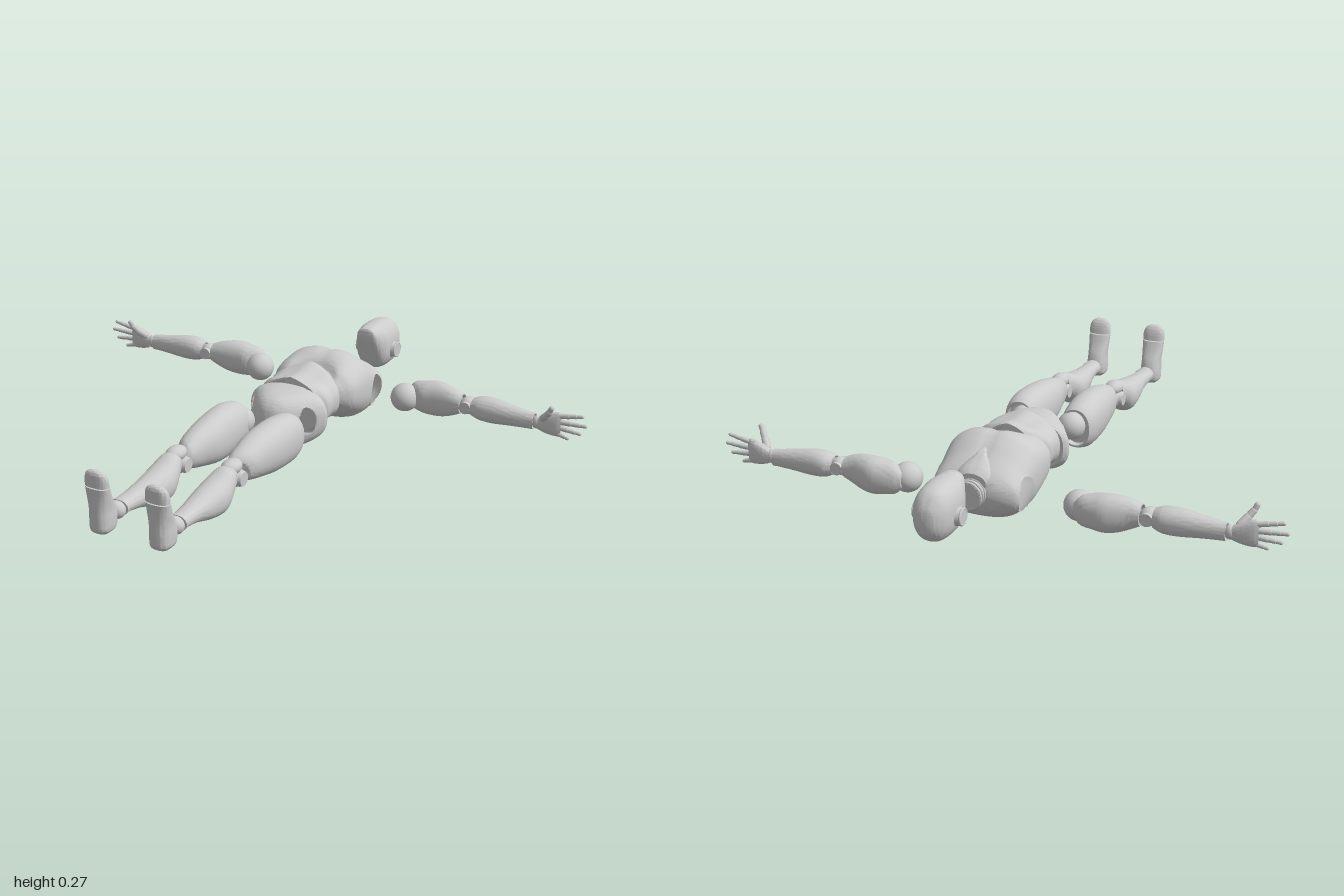
import * as THREE from 'three';
import { toCreasedNormals } from 'three/addons/utils/BufferGeometryUtils.js';

const material = new THREE.MeshStandardMaterial({ color: 0xcccccc, side: THREE.DoubleSide });

const spline = (a, b, c, d, k) =>
  b + 0.5 * k * (c - a + k * (2 * a - 5 * b + 4 * c - d + k * (3 * (b - c) + d - a)));
const ramp = (v, a, b) => THREE.MathUtils.smoothstep(v, Math.min(a, b), Math.max(a, b));

// Places (along, u, v) in space for each lofting axis
const axes = {
  x: (t, u, v) => [t, u, v],
  y: (t, u, v) => [v, t, u],
  z: (t, u, v) => [u, v, t],
};

// Smooth loft through superellipse sections [along, u, v, radiusU, radiusV].
// dish = depth of the recess at each end, warp(p) bends points, hole cuts an oval along x.
function loft(axis, sections, { n = 2, seg = 40, steps = 6, dish = [0, 0], warp, hole } = {}) {
  const rows = [];
  const last = sections.length - 1;
  for (let i = 0; i < last; i++) {
    const q = [-1, 0, 1, 2].map(k => sections[Math.min(last, Math.max(0, i + k))]);
    for (let s = 0; s < steps + (i === last - 1 ? 1 : 0); s++)
      rows.push(q[1].map((_, c) => spline(q[0][c], q[1][c], q[2][c], q[3][c], s / steps)));
  }
  const capRow = (r, scale, off) => [r[0] + off, r[1], r[2], r[3] * scale, r[4] * scale];
  const a = rows[0], b = rows[rows.length - 1];
  const ends = d => (d ? [[0.9, 0], [0.84, d], [0.001, d]] : [[0.001, 0]]);
  ends(dish[0]).forEach(([s, o]) => rows.unshift(capRow(a, s, o)));
  ends(dish[1]).forEach(([s, o]) => rows.push(capRow(b, s, -o)));

  const pts = [];
  const pow = v => Math.sign(v) * Math.abs(v) ** (2 / n);
  for (const [t, u, v, ru, rv] of rows)
    for (let j = 0; j < seg; j++) {
      const w = (j / seg) * Math.PI * 2;
      const p = new THREE.Vector3(...axes[axis](t, u + ru * pow(Math.cos(w)), v + rv * pow(Math.sin(w))));
      if (warp) warp(p);
      pts.push(p);
    }
  // Points inside the oval move to its edge; faces wholly inside are dropped
  const inside = pts.map(p => {
    if (!hole) return false;
    const dy = (p.y - hole.y) / hole.ry, dz = (p.z - hole.z) / hole.rz, d = Math.hypot(dy, dz);
    if (d >= 1 || Math.abs(p.x) < 0.04) return false;
    p.y = hole.y + (dy / (d || 1)) * hole.ry;
    p.z = hole.z + (dz / (d || 1)) * hole.rz;
    return true;
  });
  const index = [];
  const face = (...f) => { if (!f.every(k => inside[k])) index.push(...f); };
  for (let i = 0; i < rows.length - 1; i++)
    for (let j = 0; j < seg; j++) {
      const k = (j + 1) % seg, r = i * seg, s = r + seg;
      face(r + j, r + k, s + k);
      face(r + j, s + k, s + j);
    }
  const g = new THREE.BufferGeometry().setFromPoints(pts);
  g.setIndex(index);
  return toCreasedNormals(g, 0.75);
}

function add(group, name, geometry) {
  const mesh = new THREE.Mesh(geometry, material);
  mesh.name = name;
  group.add(mesh);
}

const ball = (x, y, z, rx, ry = rx, rz = rx) =>
  new THREE.SphereGeometry(1, 28, 18).scale(rx, ry, rz).translate(x, y, z);

const disc = (r, h, x, y, z) =>
  new THREE.CylinderGeometry(r * 0.85, r, h, 28).rotateZ(-Math.PI / 2).translate(x, y, z);

// Rounded finger bone between two points
function bone(a, b, r) {
  const d = b.clone().sub(a);
  const q = new THREE.Quaternion().setFromUnitVectors(new THREE.Vector3(0, 1, 0), d.clone().normalize());
  const m = a.clone().add(b).multiplyScalar(0.5);
  return new THREE.CapsuleGeometry(r, d.length() * 0.85, 5, 12).applyQuaternion(q).translate(m.x, m.y, m.z);
}

// Mirrored copy of a limb across x = 0
function mirrored(group, name) {
  const out = new THREE.Group();
  out.name = name;
  for (const m of group.children) {
    let g = m.geometry.index ? m.geometry.toNonIndexed() : m.geometry.clone();
    g.scale(-1, 1, 1);
    for (const attr of Object.values(g.attributes))
      for (let i = 0; i < attr.count; i += 3)
        for (let c = 0; c < attr.itemSize; c++) {
          const v = attr.getComponent(i + 1, c);
          attr.setComponent(i + 1, c, attr.getComponent(i + 2, c));
          attr.setComponent(i + 2, c, v);
        }
    add(out, m.name, g);
  }
  return out;
}

function buildTrunk(body) {
  // Head: flat face, jaw sloping back to the neck, ear discs
  add(body, 'head', loft('z', [
    [-0.915, 0, 0.165, 0.012, 0.02], [-0.905, 0, 0.166, 0.036, 0.05], [-0.87, 0, 0.17, 0.06, 0.084],
    [-0.81, 0, 0.172, 0.067, 0.093], [-0.76, 0, 0.175, 0.065, 0.09], [-0.74, 0, 0.182, 0.058, 0.082],
    [-0.72, 0, 0.205, 0.048, 0.058], [-0.7, 0, 0.23, 0.036, 0.028], [-0.696, 0, 0.232, 0.025, 0.016]], { n: 2.3 }));
  for (const s of [-1, 1]) {
    add(body, 'ear', disc(0.032, 0.024, 0, 0, 0).rotateY(s < 0 ? Math.PI : 0).translate(s * 0.071, 0.156, -0.807));
    add(body, 'earRing', new THREE.TorusGeometry(0.026, 0.004, 8, 28).rotateY(Math.PI / 2).translate(s * 0.08, 0.156, -0.807));
  }
  // Neck with ribs, and the throat piece running down onto the chest
  add(body, 'neck', new THREE.CylinderGeometry(0.043, 0.05, 0.1, 32).rotateX(-Math.PI / 2).translate(0, 0.13, -0.555));
  for (let i = 0; i < 3; i++)
    add(body, 'neckRib', new THREE.TorusGeometry(0.045, 0.005, 8, 32).translate(0, 0.13, -0.6 + i * 0.016));
  add(body, 'throat', loft('z', [
    [-0.57, 0, 0.165, 0.05, 0.03], [-0.55, 0, 0.18, 0.06, 0.03], [-0.52, 0, 0.2, 0.048, 0.026],
    [-0.49, 0, 0.223, 0.022, 0.02], [-0.465, 0, 0.238, 0.008, 0.01]]));
  // Chest shell with arm sockets and an arched lower rib edge
  add(body, 'chest', loft('z', [
    [-0.565, 0, 0.125, 0.125, 0.05], [-0.55, 0, 0.123, 0.147, 0.068], [-0.53, 0, 0.122, 0.154, 0.085],
    [-0.485, 0, 0.125, 0.158, 0.11], [-0.435, 0, 0.138, 0.163, 0.128], [-0.386, 0, 0.15, 0.167, 0.13],
    [-0.3, 0, 0.16, 0.163, 0.098], [-0.262, 0, 0.163, 0.14, 0.07], [-0.245, 0, 0.163, 0.122, 0.062]], {
    n: 2.5, seg: 72, steps: 8, dish: [0, 0.03], hole: { y: 0.115, z: -0.485, ry: 0.06, rz: 0.05 },
    warp: p => {
      const front = ramp(p.y, 0.15, 0.23), low = ramp(p.z, -0.38, -0.245);
      p.z -= low * 0.055 * front * Math.max(0, 1 - (p.x / 0.1) ** 2);
      p.y -= 0.008 * front * Math.exp(-((p.x / 0.02) ** 2)) * (1 - low);
    } }));
  // Waist section with a raised centre ridge
  add(body, 'abdomen', loft('z', [
    [-0.28, 0, 0.16, 0.09, 0.095], [-0.262, 0, 0.16, 0.112, 0.098], [-0.23, 0, 0.16, 0.138, 0.09],
    [-0.19, 0, 0.158, 0.135, 0.085], [-0.15, 0, 0.155, 0.137, 0.09], [-0.122, 0, 0.152, 0.112, 0.096]], {
    n: 2.4, seg: 60, dish: [0.02, 0.02],
    warp: p => { p.y += 0.01 * ramp(p.y, 0.17, 0.24) * Math.max(0, 1 - Math.abs(p.x) / 0.05); } }));
  // Pelvis shell, narrowing between the open hip sockets
  add(body, 'pelvis', loft('z', [
    [-0.13, 0, 0.14, 0.14, 0.088], [-0.11, 0, 0.136, 0.152, 0.096], [-0.08, 0, 0.132, 0.147, 0.1],
    [-0.04, 0, 0.128, 0.118, 0.102], [0, 0, 0.124, 0.083, 0.097], [0.024, 0, 0.12, 0.054, 0.08],
    [0.034, 0, 0.118, 0.03, 0.058]], {
    n: 2.5, seg: 80, steps: 9, dish: [0.015, 0], hole: { y: 0.14, z: -0.043, ry: 0.052, rz: 0.029 },
    warp: p => {
      p.z -= ramp(p.z, -0.07, -0.13) * 0.025 * (Math.min(1, Math.abs(p.x) / 0.14) ** 2 - 0.4);
    } }));
}

function buildLeg() {
  const leg = new THREE.Group();
  leg.name = 'leftLeg';
  add(leg, 'hipBall', ball(0.09, 0.145, 0.072, 0.05));
  // Thigh, cut on a slant round the hip ball
  add(leg, 'thigh', loft('z', [
    [0.065, 0.106, 0.138, 0.054, 0.07], [0.09, 0.107, 0.14, 0.061, 0.08], [0.15, 0.105, 0.14, 0.068, 0.09],
    [0.25, 0.104, 0.137, 0.067, 0.085], [0.33, 0.106, 0.137, 0.056, 0.07], [0.39, 0.107, 0.135, 0.045, 0.053],
    [0.415, 0.107, 0.13, 0.034, 0.038]], {
    n: 2.2, dish: [0.02, 0.012],
    warp: p => { p.z += ramp(p.z, 0.2, 0.06) * (0.55 * (0.106 - p.x) + 0.25 * (p.y - 0.14)); } }));
  add(leg, 'kneeJoint', ball(0.107, 0.125, 0.445, 0.037, 0.036, 0.038));
  for (const s of [-1, 1])
    add(leg, 'kneeDisc', disc(0.028, 0.012, 0, 0, 0).rotateY(s < 0 ? Math.PI : 0).translate(0.107 + s * 0.037, 0.125, 0.447));
  add(leg, 'kneeCap', ball(0.107, 0.163, 0.455, 0.032, 0.026, 0.045));
  // Shin with the calf on the underside
  add(leg, 'shin', loft('z', [
    [0.47, 0.107, 0.138, 0.032, 0.036], [0.5, 0.106, 0.128, 0.044, 0.05], [0.55, 0.104, 0.1, 0.056, 0.061],
    [0.62, 0.104, 0.095, 0.051, 0.051], [0.7, 0.107, 0.1, 0.038, 0.033], [0.76, 0.11, 0.102, 0.034, 0.025],
    [0.785, 0.11, 0.102, 0.036, 0.026]], { n: 2.2, dish: [0.012, 0.01] }));
  add(leg, 'ankle', ball(0.11, 0.1, 0.8, 0.034, 0.03, 0.028));
  // Foot pointing up, sole facing away from the body
  add(leg, 'foot', loft('y', [
    [0.055, 0.868, 0.112, 0.028, 0.024], [0.068, 0.867, 0.112, 0.043, 0.035], [0.1, 0.865, 0.112, 0.047, 0.037],
    [0.14, 0.87, 0.112, 0.042, 0.036], [0.18, 0.881, 0.112, 0.031, 0.039], [0.215, 0.89, 0.112, 0.023, 0.042]],
    { n: 2.6 }));
  add(leg, 'toes', loft('y', [
    [0.219, 0.89, 0.112, 0.023, 0.042], [0.245, 0.893, 0.112, 0.02, 0.041], [0.265, 0.897, 0.112, 0.015, 0.033],
    [0.274, 0.899, 0.112, 0.007, 0.018]], { n: 2.5 }));
  return leg;
}

function buildArm() {
  const arm = new THREE.Group();
  arm.name = 'leftArm';
  add(arm, 'shoulderBall', ball(0.306, 0.11, -0.489, 0.052));
  add(arm, 'upperArm', loft('x', [
    [0.305, 0.113, -0.535, 0.025, 0.014], [0.33, 0.113, -0.528, 0.05, 0.034], [0.37, 0.114, -0.523, 0.059, 0.05],
    [0.41, 0.115, -0.525, 0.064, 0.052], [0.45, 0.117, -0.52, 0.061, 0.047], [0.49, 0.12, -0.513, 0.05, 0.04],
    [0.525, 0.122, -0.511, 0.035, 0.036]], { n: 2.2, dish: [0, 0.012] }));
  add(arm, 'elbowJoint', ball(0.548, 0.12, -0.51, 0.031));
  add(arm, 'elbowDisc', new THREE.CylinderGeometry(0.022, 0.022, 0.07, 24).rotateX(Math.PI / 2).translate(0.548, 0.12, -0.51));
  add(arm, 'forearm', loft('x', [
    [0.568, 0.12, -0.511, 0.032, 0.034], [0.6, 0.12, -0.513, 0.043, 0.044], [0.65, 0.119, -0.512, 0.045, 0.042],
    [0.72, 0.116, -0.511, 0.037, 0.033], [0.78, 0.113, -0.511, 0.031, 0.025], [0.802, 0.112, -0.511, 0.03, 0.023]],
    { n: 2.2, dish: [0.01, 0.008] }));
  add(arm, 'wrist', ball(0.812, 0.112, -0.509, 0.02, 0.024, 0.018));
  add(arm, 'palm', loft('x', [
    [0.82, 0.112, -0.508, 0.024, 0.016], [0.85, 0.115, -0.507, 0.036, 0.018], [0.885, 0.12, -0.507, 0.045, 0.015],
    [0.903, 0.121, -0.507, 0.042, 0.009]], { n: 2.5 }));
  // Fingers: knuckle y, knuckle x, tip y, tip x
  const fingers = [[0.152, 0.897, 0.167, 0.98], [0.13, 0.902, 0.134, 0.994], [0.109, 0.897, 0.102, 0.974], [0.089, 0.885, 0.076, 0.93]];
  for (const [y0, x0, y1, x1] of fingers) {
    const a = new THREE.Vector3(x0, y0, -0.507), b = new THREE.Vector3(x1, y1, -0.504);
    [0, 0.42, 0.74, 1].forEach((k, i, stops) => {
      if (i) add(arm, 'fingerBone', bone(a.clone().lerp(b, stops[i - 1]), a.clone().lerp(b, k), 0.0105 - i * 0.0013));
    });
  }
  const thumb = [[0.838, 0.135, -0.497], [0.858, 0.158, -0.475], [0.873, 0.178, -0.463], [0.882, 0.196, -0.458]].map(p => new THREE.Vector3(...p));
  for (let i = 0; i < 3; i++) add(arm, 'thumbBone', bone(thumb[i], thumb[i + 1], 0.0135 - i * 0.002));
  return arm;
}

export function createModel() {
  const model = new THREE.Group();
  model.name = 'jointedMannequin';
  const body = new THREE.Group();
  body.name = 'body';
  body.position.x = 0.035;
  buildTrunk(body);
  const leg = buildLeg(), arm = buildArm();
  body.add(leg, mirrored(leg, 'rightLeg'));
  model.add(body, arm, mirrored(arm, 'rightArm'));
  return model;
}
